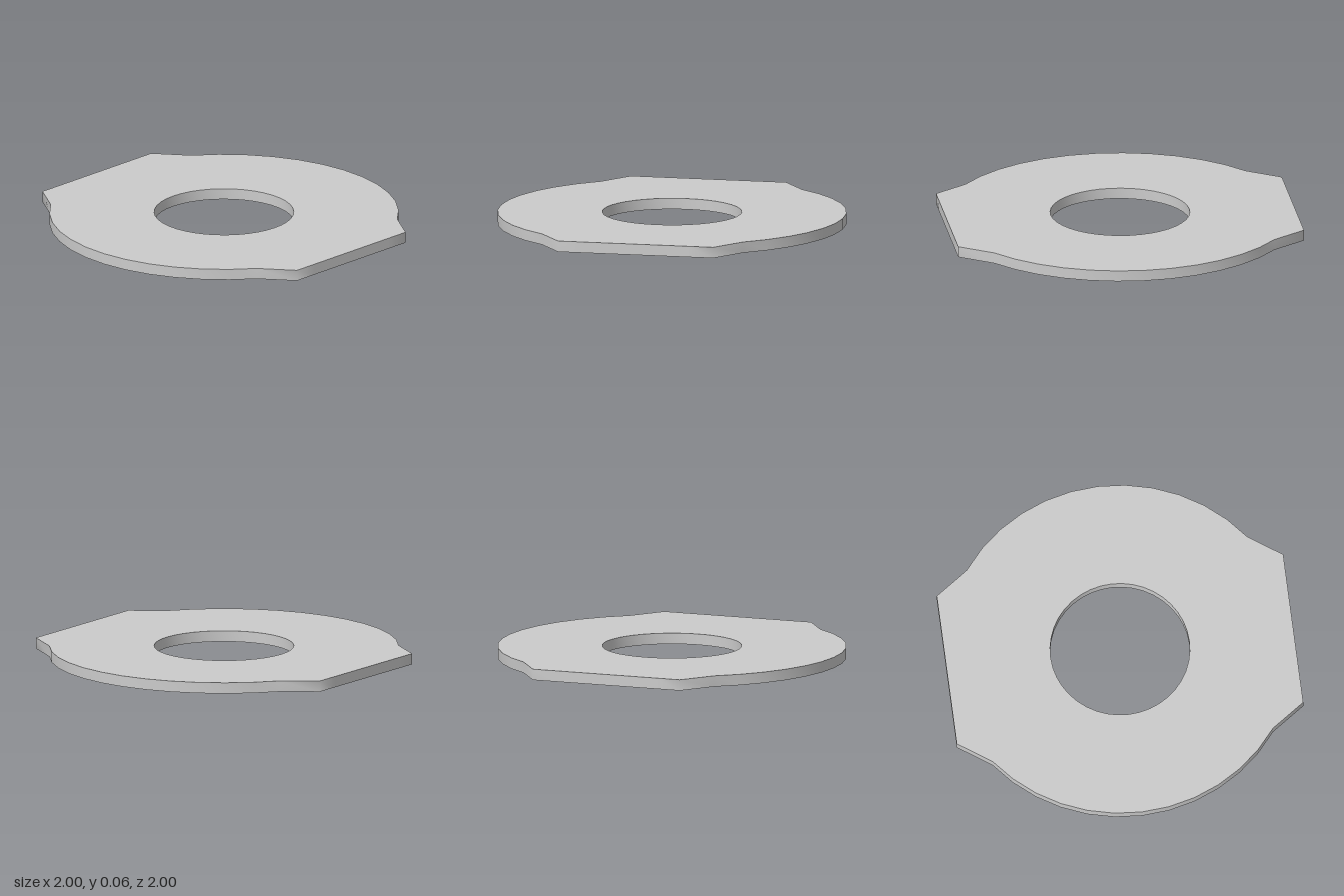
import * as THREE from 'three';
import { toCreasedNormals } from 'three/addons/utils/BufferGeometryUtils.js';

const SEGMENTS = 40;
const THICKNESS = 0.063;
const HOLE_RADIUS = 0.4;
const TAB_HALF_WIDTH = 0.46;

function ring(radius) {
  return Array.from({ length: SEGMENTS }, (_, i) => {
    const a = (i / SEGMENTS) * Math.PI * 2;
    return new THREE.Vector2(Math.cos(a) * radius, Math.sin(a) * radius);
  });
}

export function createModel() {
  const group = new THREE.Group();
  group.name = 'tabbedWasher';

  // Round outline whose front and back arcs are pushed out into straight tabs
  const outline = ring(1);
  for (const p of outline) {
    if (Math.abs(p.x) < TAB_HALF_WIDTH) p.y = Math.sign(p.y);
  }
  const shape = new THREE.Shape(outline);

  // Central bore
  shape.holes.push(new THREE.Path(ring(HOLE_RADIUS).reverse()));

  // Flat plate lying on the ground, smooth around the rim, sharp at the faces
  const plate = new THREE.ExtrudeGeometry(shape, { depth: THICKNESS, bevelEnabled: false });
  plate.rotateX(-Math.PI / 2);
  const mesh = new THREE.Mesh(
    toCreasedNormals(plate, 1),
    new THREE.MeshStandardMaterial({ color: 0xcccccc })
  );
  mesh.name = 'washerPlate';
  group.add(mesh);
  return group;
}
